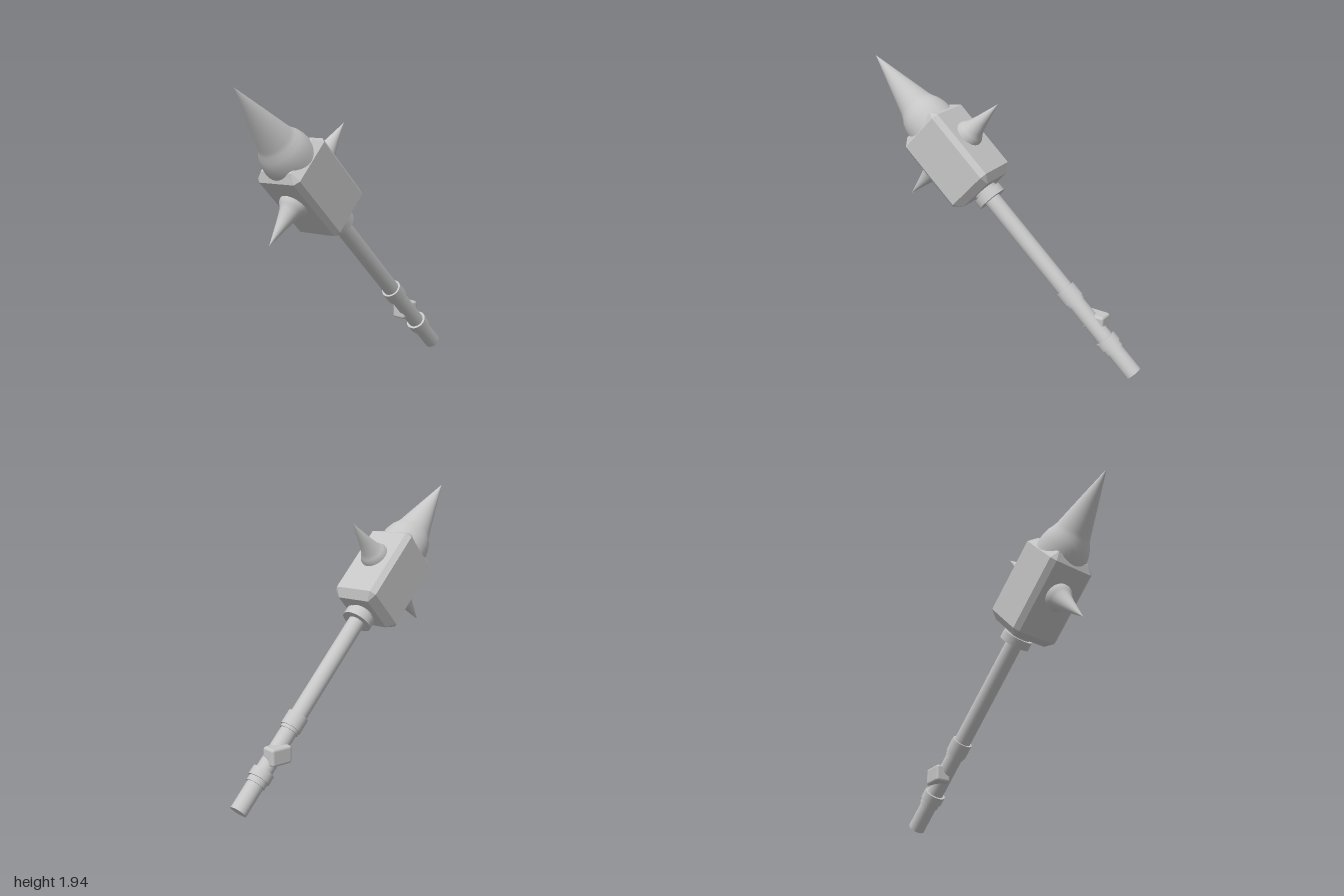
import * as THREE from 'three';
import { RoundedBoxGeometry } from 'three/addons/geometries/RoundedBoxGeometry.js';

export function createModel() {
  const model = new THREE.Group();
  const grey = new THREE.MeshStandardMaterial({ color: 0xc6c6c6 });
  grey.name = 'plain grey';

  // tilted frame: local y runs from the pommel to the tip
  const mace = new THREE.Group();
  mace.name = 'mace';
  const up = new THREE.Vector3(0.075, 0.693, 0.717).normalize();
  const side = new THREE.Vector3().crossVectors(up, new THREE.Vector3(0.075, -0.72, 0.69)).normalize();
  const out = new THREE.Vector3().crossVectors(side, up);
  mace.quaternion.setFromRotationMatrix(new THREE.Matrix4().makeBasis(side, up, out));
  mace.position.set(-0.143, 0.045, -0.96);
  model.add(mace);

  const add = (name, geometry, parent = mace) => {
    const mesh = new THREE.Mesh(geometry, grey);
    mesh.name = name;
    parent.add(mesh);
    return mesh;
  };
  const rod = (name, radius, from, to) =>
    add(name, new THREE.CylinderGeometry(radius, radius, to - from, 40).translate(0, (from + to) / 2, 0));
  const spike = (name, profile) => {
    const points = profile.map(([r, y]) => new THREE.Vector2(r, y));
    return add(name, new THREE.LatheGeometry(points, 40));
  };

  // handle with its stepped collars and neck
  rod('shaft', 0.056, 0, 1.5);
  rod('lowerCollar', 0.073, 0.232, 0.292);
  rod('lowerCollarStep', 0.064, 0.195, 0.232);
  rod('upperCollar', 0.07, 0.612, 0.71);
  rod('upperCollarStep', 0.063, 0.59, 0.612);
  rod('neckRing', 0.102, 1.472, 1.53);
  rod('neck', 0.08, 1.53, 1.57);

  // head block, chamfered around both ends
  const w = 0.127, d = 0.137, c = 0.003, bevel = 0.05;
  const shape = new THREE.Shape([
    [w - c, -d], [w, -d + c], [w, d - c], [w - c, d],
    [-w + c, d], [-w, d - c], [-w, -d + c], [-w + c, -d],
  ].map(([x, y]) => new THREE.Vector2(x, y)));
  const block = new THREE.ExtrudeGeometry(shape, {
    depth: 0.5, bevelThickness: bevel, bevelSize: bevel, bevelSegments: 1,
  });
  block.rotateX(-Math.PI / 2).translate(0, 1.602, 0);
  add('headBlock', block);

  // large end spike and a pair of flared side spikes
  spike('endSpike', [[0.175, 2.08], [0.172, 2.14], [0.165, 2.19], [0.15, 2.235],
    [0.13, 2.27], [0.118, 2.3], [0.06, 2.515], [0, 2.734]]);
  for (const s of [1, -1]) {
    const sideSpike = spike(s > 0 ? 'frontSpike' : 'backSpike', [[0.097, 0.16], [0.094, 0.2],
      [0.08, 0.225], [0.064, 0.252], [0.042, 0.33], [0, 0.5]]);
    sideSpike.position.y = 1.894;
    sideSpike.rotation.x = s * Math.PI / 2;
  }

  // grip block, set level on the right of the handle
  const grip = add('gripBlock', new RoundedBoxGeometry(0.105, 0.115, 0.152, 3, 0.018), model);
  grip.position.set(-0.149, 0.342, -0.663);

  return model;
}
